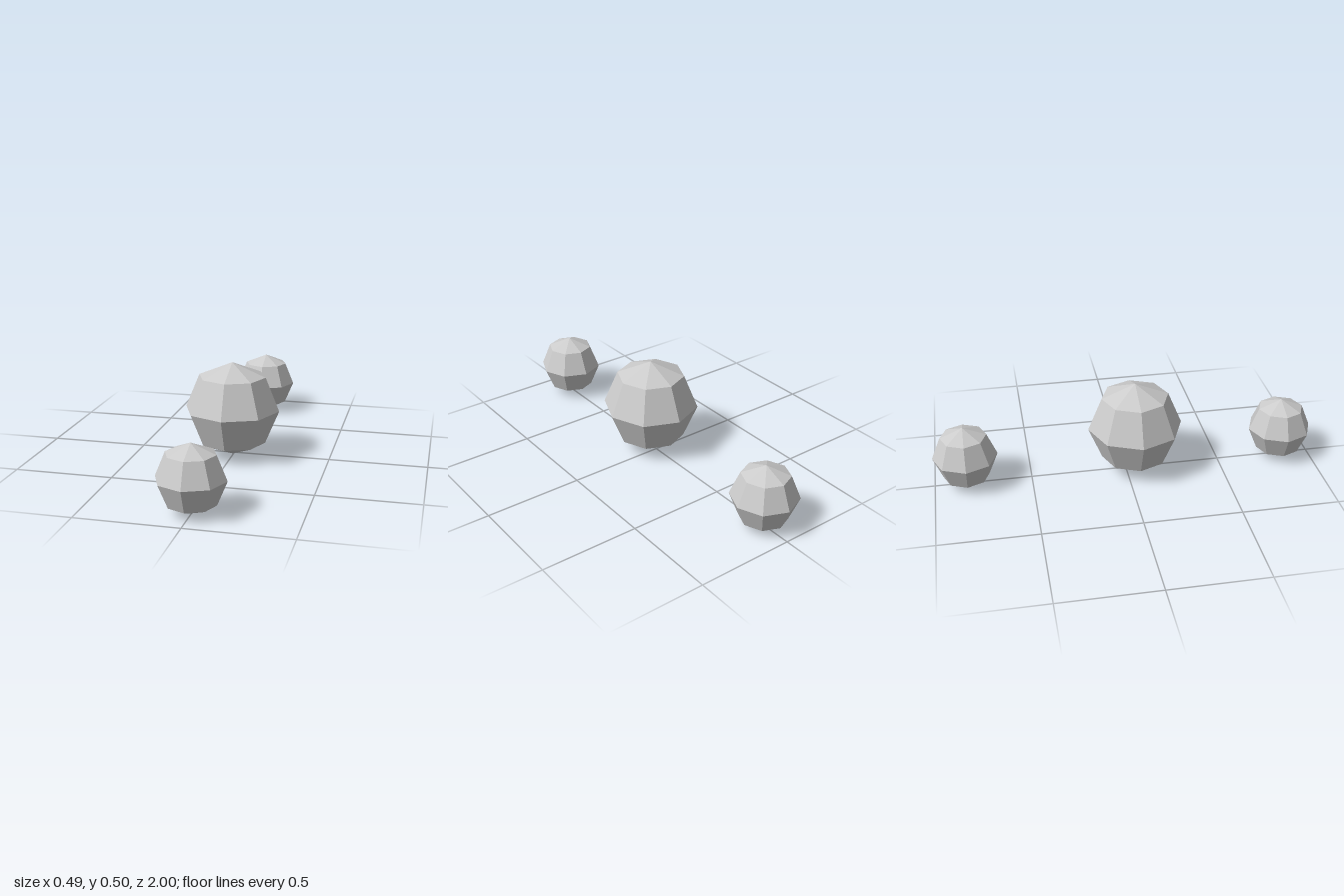
import * as THREE from 'three';

export function createModel() {
  const group = new THREE.Group();
  const material = new THREE.MeshStandardMaterial({ color: 0xcccccc, flatShading: true });

  // Low-poly ball: eight sides, four bands
  function addBall(name, radius, y, z) {
    const ball = new THREE.Mesh(new THREE.SphereGeometry(radius, 8, 4), material);
    ball.name = name;
    ball.position.set(0, y, z);
    group.add(ball);
  }

  // Large ball, slightly forward of the middle
  addBall('centreBall', 0.245, 0.256, 0.048);

  // Matching small balls at the two ends
  addBall('frontBall', 0.166, 0.167, 0.834);
  addBall('backBall', 0.166, 0.167, -0.834);

  return group;
}
